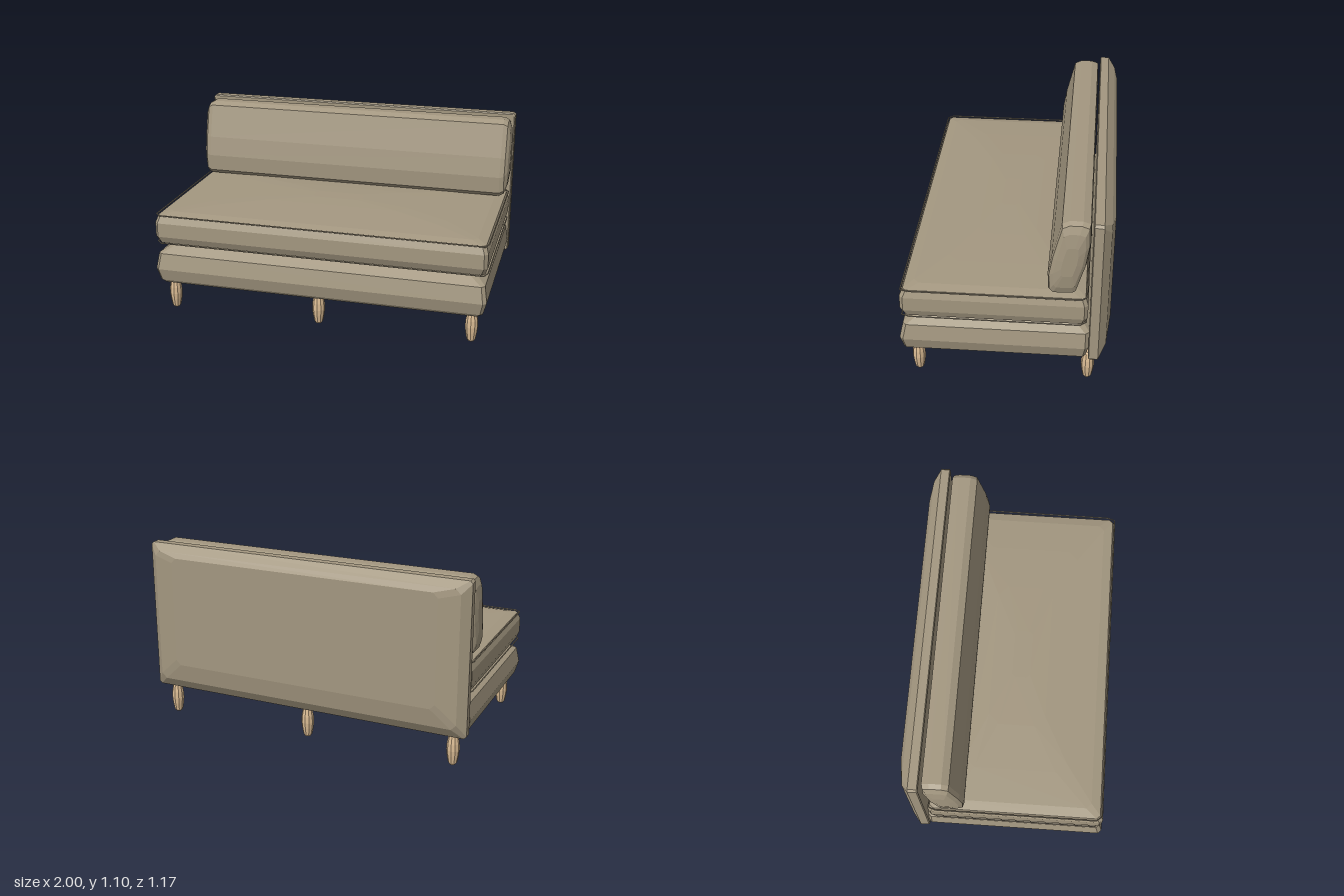
import * as THREE from 'three';

const fabric = new THREE.MeshStandardMaterial({ color: 0xa39780 });
fabric.name = 'taupe fabric';
const wood = new THREE.MeshStandardMaterial({ color: 0xdabb93 });
wood.name = 'pale wood';

// Skins a stack of equal-length closed rings, capped at both ends, with faceted normals
function loft(rings) {
  const n = rings[0].length, tris = [];
  const mid = (r) => r.reduce((s, p) => s.add(p), new THREE.Vector3()).divideScalar(n);
  for (let i = 0; i < rings.length - 1; i++) {
    for (let j = 0; j < n; j++) {
      const k = (j + 1) % n;
      const a = rings[i][j], b = rings[i][k], c = rings[i + 1][k], d = rings[i + 1][j];
      tris.push([a, b, c], [a, c, d]);
    }
  }
  const first = rings[0], last = rings[rings.length - 1];
  const m0 = mid(first), m1 = mid(last);
  for (let j = 0; j < n; j++) {
    const k = (j + 1) % n;
    tris.push([m0, first[k], first[j]], [m1, last[j], last[k]]);
  }
  // Turn all faces outward
  let volume = 0;
  const cross = new THREE.Vector3();
  for (const [a, b, c] of tris) volume += a.dot(cross.crossVectors(b, c));
  const pos = tris.flatMap(([a, b, c]) => (volume < 0 ? [a, c, b] : [a, b, c]))
    .flatMap((p) => [p.x, p.y, p.z]);
  const geo = new THREE.BufferGeometry();
  geo.setAttribute('position', new THREE.Float32BufferAttribute(pos, 3));
  geo.computeVertexNormals();
  return geo;
}

// Rectangle with cut corners, as [u, v] pairs
function cutRect(u0, u1, v0, v1, c) {
  return [[u0 + c, v0], [u1 - c, v0], [u1, v0 + c], [u1, v1 - c],
    [u1 - c, v1], [u0 + c, v1], [u0, v1 - c], [u0, v0 + c]];
}

// Horizontal slab from rows of [y, halfX, zBack, zFront, cornerCut]
function slab(rows) {
  return loft(rows.map(([y, hx, z0, z1, c]) =>
    cutRect(-hx, hx, z0, z1, c).map(([x, z]) => new THREE.Vector3(x, y, z))));
}

export function createModel() {
  const model = new THREE.Group();
  const add = (name, geo, mat = fabric) => {
    const mesh = new THREE.Mesh(geo, mat);
    mesh.name = name;
    model.add(mesh);
    return mesh;
  };

  // Upholstered base
  add('base', slab([
    [0.18, 0.955, -0.40, 0.555, 0.015],
    [0.197, 0.975, -0.455, 0.568, 0.015],
    [0.27, 0.995, -0.472, 0.586, 0.02],
    [0.365, 0.98, -0.472, 0.566, 0.02],
    [0.405, 0.92, -0.42, 0.505, 0.03],
    [0.417, 0.82, -0.38, 0.39, 0.04],
  ]));

  // Seat cushion with a gently domed top
  add('seatCushion', slab([
    [0.414, 0.80, -0.32, 0.38, 0.05],
    [0.42, 0.92, -0.39, 0.49, 0.03],
    [0.433, 0.975, -0.445, 0.555, 0.02],
    [0.475, 0.99, -0.46, 0.574, 0.02],
    [0.56, 0.99, -0.46, 0.574, 0.02],
    [0.605, 0.975, -0.445, 0.555, 0.02],
    [0.618, 0.92, -0.39, 0.50, 0.03],
    [0.629, 0.72, -0.26, 0.34, 0.06],
    [0.638, 0.45, -0.14, 0.20, 0.06],
    [0.643, 0.15, -0.02, 0.09, 0.02],
  ]));

  // Piping around both seams of the seat cushion
  for (const [name, y] of [['lowerPiping', 0.433], ['upperPiping', 0.607]]) {
    const path = new THREE.CurvePath();
    const pts = cutRect(-0.988, 0.988, -0.452, 0.566, 0.015)
      .map(([x, z]) => new THREE.Vector3(x, y, z));
    pts.forEach((p, i) => path.add(new THREE.LineCurve3(p, pts[(i + 1) % pts.length])));
    add(name, new THREE.TubeGeometry(path, 120, 0.004, 5, true));
  }

  // Leaning back cushion: a side outline swept across x and pinched at the ends
  const outline = [[-0.26, 0.627], [-0.24, 0.65], [-0.235, 0.75], [-0.255, 0.87],
    [-0.305, 1.07], [-0.345, 1.09], [-0.415, 1.09], [-0.455, 1.075],
    [-0.46, 0.96], [-0.44, 0.82], [-0.39, 0.645], [-0.37, 0.63]];
  const ends = [[0.998, 0.4], [0.988, 0.75], [0.972, 0.94], [0.945, 1]];
  const stations = [...ends.map(([x, s]) => [-x, s]), ...ends.slice().reverse()];
  add('backCushion', loft(stations.map(([x, s]) => outline.map(([z, y]) =>
    new THREE.Vector3(x, 0.86 + (y - 0.86) * s, -0.355 + (z + 0.355) * s)))));

  // Backrest panel, bevelled towards the rear: [z, halfX, yBottom, yTop, cornerCut]
  add('backrest', loft([
    [-0.470, 0.992, 0.197, 1.093, 0.01],
    [-0.475, 0.998, 0.19, 1.10, 0.012],
    [-0.525, 1.0, 0.19, 1.10, 0.015],
    [-0.566, 0.95, 0.25, 1.06, 0.03],
    [-0.585, 0.83, 0.36, 1.03, 0.03],
  ].map(([z, hx, y0, y1, c]) =>
    cutRect(-hx, hx, y0, y1, c).map(([x, y]) => new THREE.Vector3(x, y, z)))));

  // Six turned legs
  const profile = [[0, 0], [0.018, 0], [0.026, 0.012], [0.034, 0.055], [0.038, 0.09],
    [0.036, 0.13], [0.027, 0.178], [0.02, 0.188], [0, 0.188]]
    .map(([r, y]) => new THREE.Vector2(r, y));
  const legGeo = new THREE.LatheGeometry(profile, 10).toNonIndexed();
  legGeo.computeVertexNormals();
  for (const x of [-0.908, 0, 0.908]) {
    for (const z of [0.495, -0.47]) {
      add(z > 0 ? 'frontLeg' : 'backLeg', legGeo, wood).position.set(x, 0, z);
    }
  }

  return model;
}
